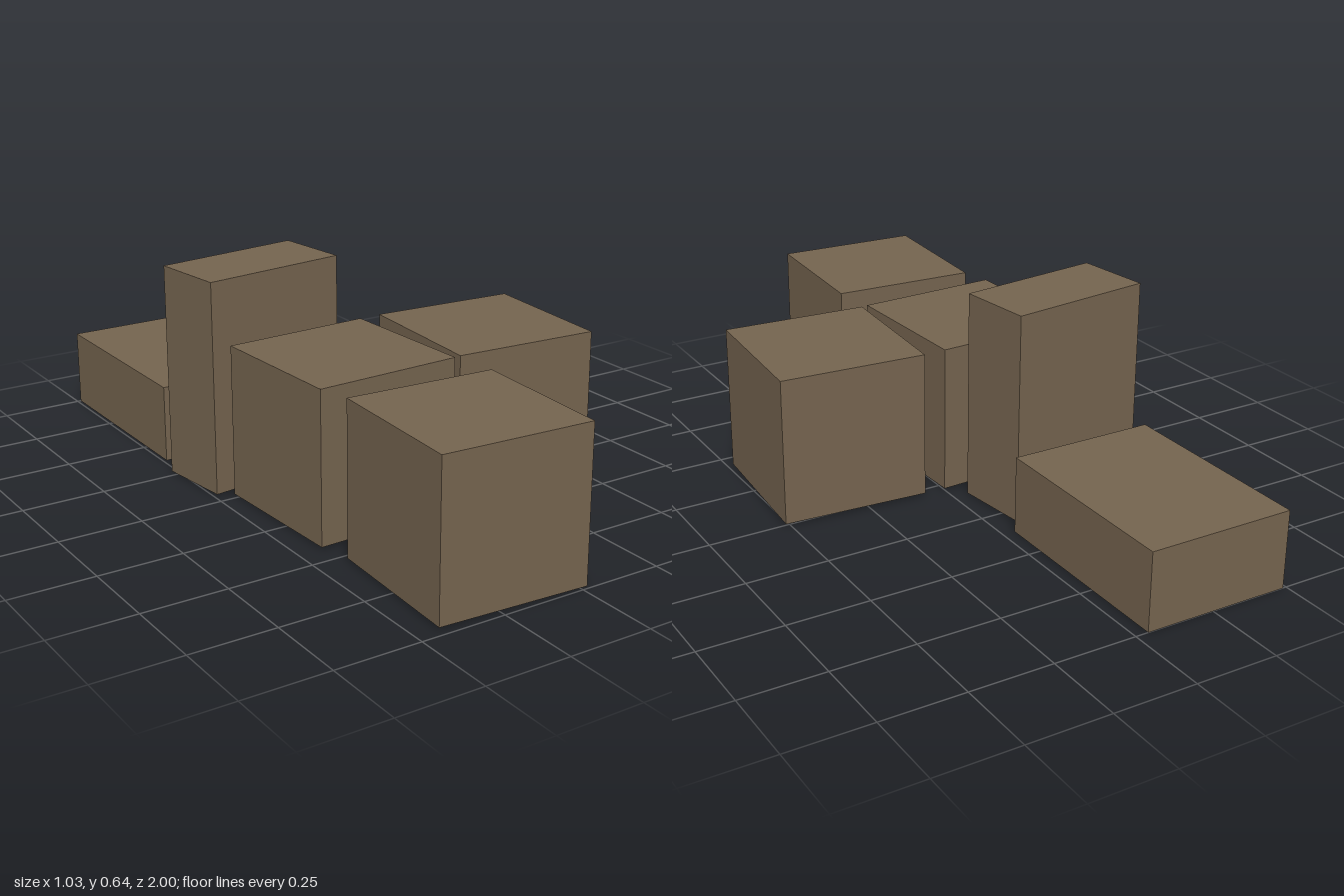
import * as THREE from 'three';

export function createModel() {
  const model = new THREE.Group();
  model.name = 'crateStack';
  const brown = new THREE.MeshStandardMaterial({ color: 0x75644f });
  brown.name = 'dull brown';

  // A crate standing on the ground, turned by yaw about its centre
  function crate(name, [w, h, d], [x, z], yaw, base = 0.005) {
    const mesh = new THREE.Mesh(new THREE.BoxGeometry(w, h, d), brown);
    mesh.name = name;
    mesh.position.set(x, base + h / 2, z);
    mesh.rotation.y = yaw;
    model.add(mesh);
  }

  // Three cubes at the front and middle
  crate('frontCrate', [0.447, 0.45, 0.45], [-0.195, 0.76], -0.054);
  crate('middleCrate', [0.447, 0.45, 0.447], [-0.214, 0.198], 0.043);
  crate('leftCrate', [0.447, 0.447, 0.447], [0.277, 0.2], -0.066, 0.008);

  // Long crate on its narrow side, and the same size lying flat behind
  crate('uprightCrate', [0.45, 0.635, 0.232], [-0.282, -0.182], 0.123);
  crate('flatCrate', [0.45, 0.235, 0.635], [-0.264, -0.683], 0, 0);

  return model;
}
